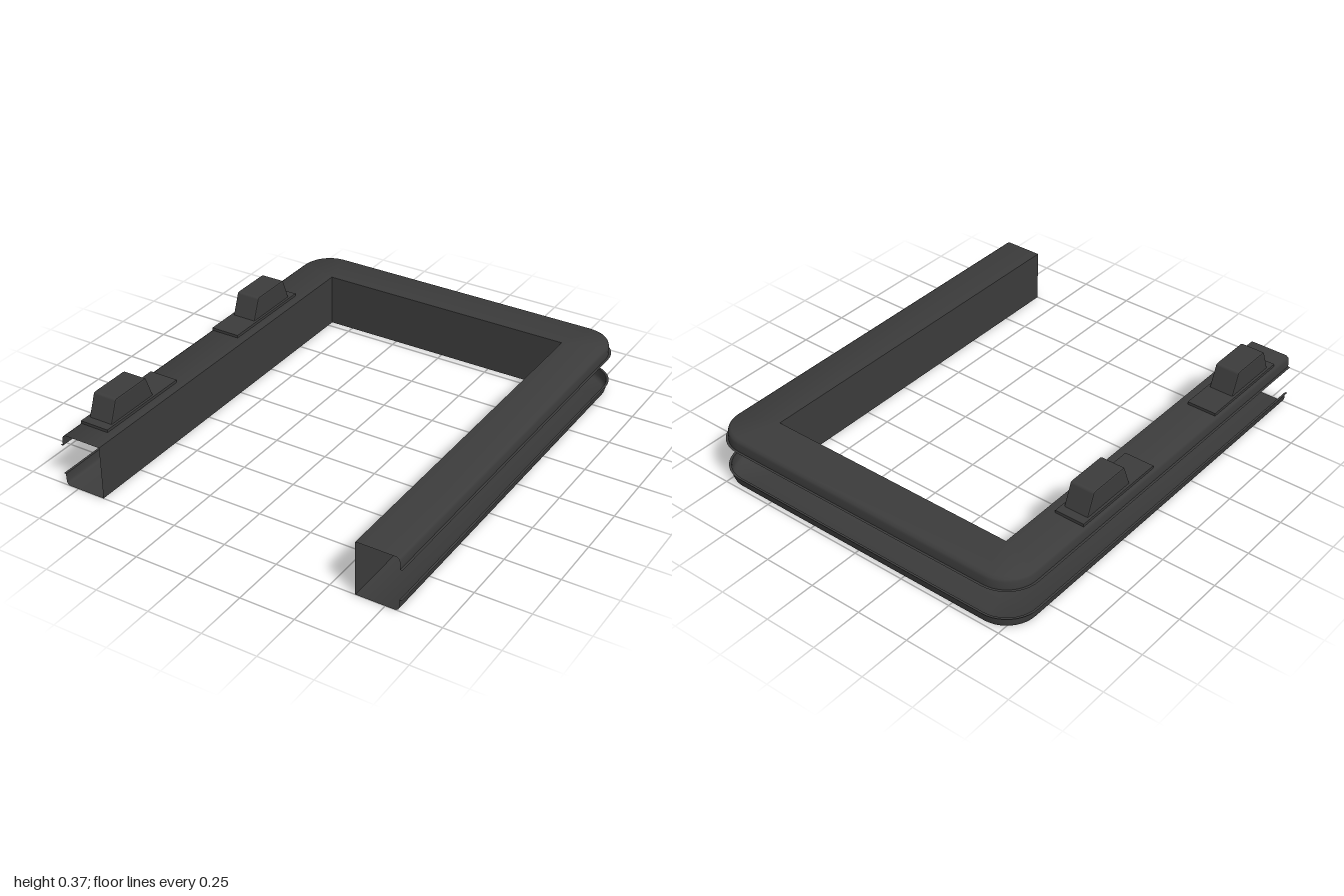
import * as THREE from 'three';
import { toCreasedNormals } from 'three/addons/utils/BufferGeometryUtils.js';

const ARC = 10;          // segments per rounded corner
const CENTRE = 0.665;    // x of the corner centre

// U-shaped line at half width x and back depth -back, rounded outside the corner centre
function uLine(x, back, y) {
  const r = Math.max(0, x - CENTRE);
  const half = [new THREE.Vector3(x, y, 1)];
  for (let i = 0; i <= ARC; i++) {
    const a = (i / ARC) * Math.PI / 2;
    half.push(new THREE.Vector3(x - r + r * Math.cos(a), y, -back + r - r * Math.sin(a)));
  }
  const other = half.map(p => new THREE.Vector3(-p.x, p.y, p.z)).reverse();
  return half.concat(other);
}

// Skin a series of lines with triangles, leaving out collapsed ones
function skin(rows) {
  const pos = [];
  const tri = new THREE.Triangle();
  const add = (a, b, c) => {
    if (tri.set(a, b, c).getArea() > 1e-9) for (const p of [a, b, c]) pos.push(p.x, p.y, p.z);
  };
  for (let j = 0; j < rows.length - 1; j++) {
    for (let i = 0; i < rows[j].length - 1; i++) {
      const a = rows[j][i], b = rows[j][i + 1], c = rows[j + 1][i + 1], d = rows[j + 1][i];
      add(a, b, c);
      add(a, c, d);
    }
  }
  const geo = new THREE.BufferGeometry();
  geo.setAttribute('position', new THREE.Float32BufferAttribute(pos, 3));
  return toCreasedNormals(geo, 0.7);
}

export function createModel() {
  const group = new THREE.Group();
  const dark = new THREE.MeshStandardMaterial({ color: 0x3c3c3c, side: THREE.DoubleSide });
  const mesh = (name, geo, parent = group) => {
    const m = new THREE.Mesh(geo, dark);
    m.name = name;
    parent.add(m);
    return m;
  };

  // Open channel: flange, lip, rounded edge, top plate, inner wall, and the same below
  const H = 0.25;
  const upper = [
    [0.823, 0.196], [0.812, 0.196], [0.811, 0.232],
    [0.807, 0.243], [0.796, H],
  ].map(([x, y]) => [x, x + 0.177, y]);
  upper.push([0.616, 0.785, H]);
  const lower = upper.map(([x, b, y]) => [x, b, H - y]).reverse();
  mesh('channelFrame', skin([...upper, ...lower].map(p => uLine(...p))));

  // Latch: thin base plate with a tapered block towards one end
  const bevel = 0.006;
  const s = new THREE.Shape();
  s.moveTo(-0.139, 0);
  s.lineTo(0.139, 0);
  s.lineTo(0.1, 0.099);
  s.quadraticCurveTo(0.098, 0.104, 0.09, 0.104);
  s.lineTo(-0.09, 0.104);
  s.quadraticCurveTo(-0.098, 0.104, -0.1, 0.099);
  s.closePath();
  const block = new THREE.ExtrudeGeometry(s, {
    depth: 0.117 - 2 * bevel, bevelThickness: bevel, bevelSize: bevel, bevelSegments: 2, curveSegments: 4,
  });
  block.translate(0, 0, -0.0585 + bevel).rotateY(-Math.PI / 2);

  for (const [name, z, end] of [['frontLatch', 0.65, 1], ['rearLatch', -0.29, -1]]) {
    const latch = new THREE.Group();
    latch.name = name;
    latch.position.set(-0.73, H, z);
    group.add(latch);
    mesh('latchBase', new THREE.BoxGeometry(0.14, 0.013, 0.478), latch).position.y = 0.0065;
    mesh('latchBlock', block, latch).position.set(0, 0.006, end * 0.055);
  }
  return group;
}
